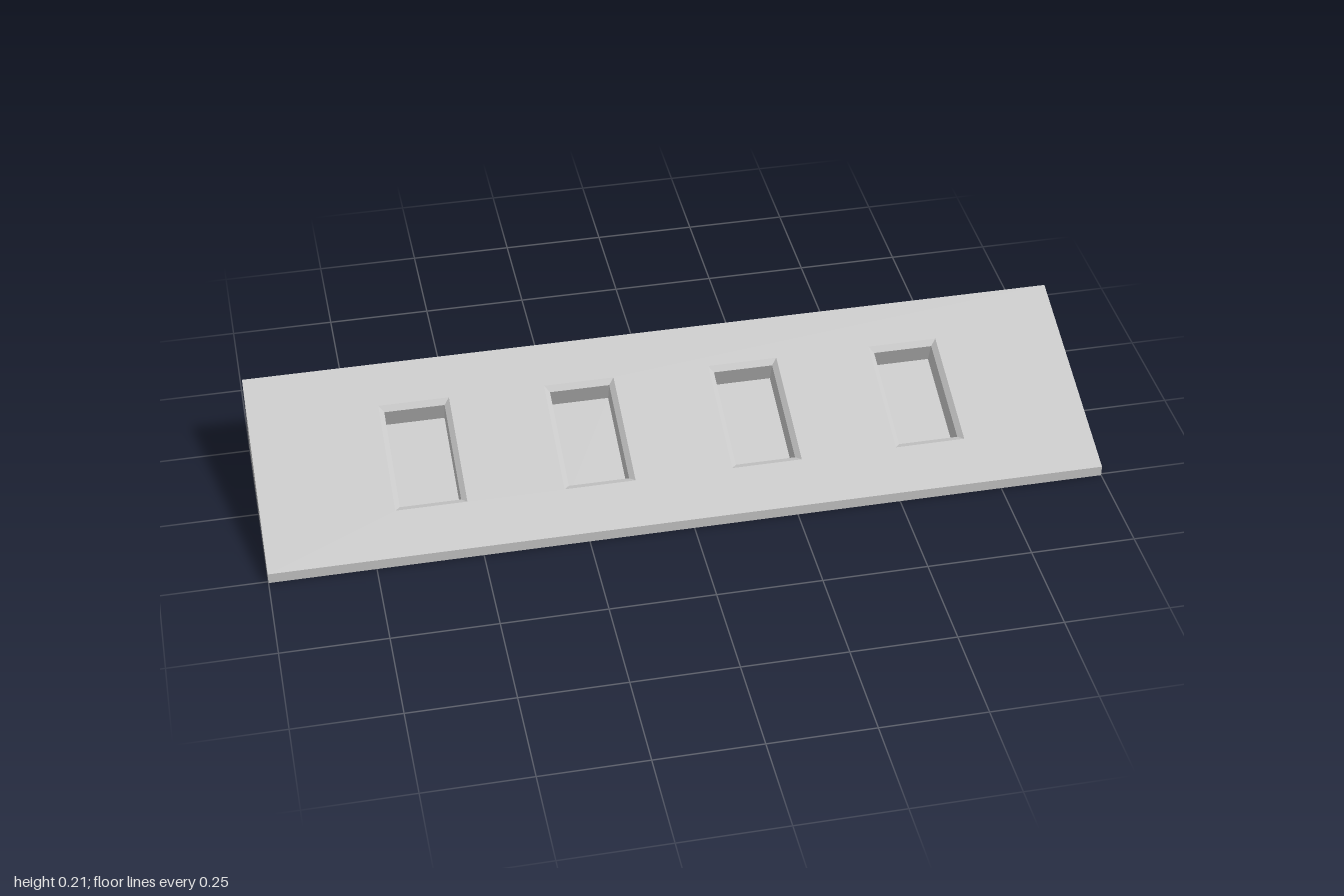
import * as THREE from 'three';

// Flat-shaded geometry from a list of quads (four corners each, counter-clockwise)
function quadGeometry(quads) {
  const points = quads.flatMap(([a, b, c, d]) => [a, b, c, a, c, d]);
  const geometry = new THREE.BufferGeometry();
  geometry.setAttribute('position', new THREE.Float32BufferAttribute(points.flat(), 3));
  geometry.computeVertexNormals();
  return geometry;
}

export function createModel() {
  const model = new THREE.Group();
  const grey = new THREE.MeshStandardMaterial({ color: 0xc8c8c8 });
  grey.name = 'light grey';

  const add = (parent, name, geometry) => {
    const mesh = new THREE.Mesh(geometry, grey);
    mesh.name = name;
    parent.add(mesh);
    return mesh;
  };

  const halfDepth = 0.255, frontY = 0.026, backY = 0.211;

  // Wedge body: ends, bottom, front lip and back, open at the slope
  const profile = [[backY, -halfDepth], [0, -halfDepth], [0, halfDepth], [frontY, halfDepth]];
  const right = profile.map(([y, z]) => [-1, y, z]);
  const left = profile.map(([y, z]) => [1, y, z]);
  const sides = [0, 1, 2].map(i => [right[i], left[i], left[i + 1], right[i + 1]]);
  add(model, 'wedgeBody', quadGeometry([right, [...left].reverse(), ...sides]));

  // Sloped panel frame: local x across, y up the slope, z out of it
  const rise = backY - frontY;
  const slope = new THREE.Group();
  slope.name = 'slopedTop';
  slope.position.y = (frontY + backY) / 2;
  slope.rotation.x = Math.atan2(rise, 2 * halfDepth) - Math.PI / 2;
  model.add(slope);

  const halfLength = Math.hypot(rise, 2 * halfDepth) / 2;
  const centres = [-0.604, -0.203, 0.201, 0.603];
  const pocketY = 0.003;
  const ring = (x, hx, hy, z) =>
    [[-1, -1], [1, -1], [1, 1], [-1, 1]].map(([sx, sy]) => [x + sx * hx, pocketY + sy * hy, z]);
  const toPath = points => points.map(([x, y]) => new THREE.Vector2(x, y));

  // Panel with a hole for each pocket
  const panel = new THREE.Shape(toPath(
    [[-1, -halfLength], [1, -halfLength], [1, halfLength], [-1, halfLength]]));

  centres.forEach((x, index) => {
    const outer = ring(x, 0.085, 0.148, 0);
    const inner = ring(x, 0.0725, 0.134, -0.01);
    const floor = ring(x, 0.0725, 0.134, -0.066);
    panel.holes.push(new THREE.Path(toPath(outer).reverse()));

    // Chamfered rim, straight walls and floor of the recess
    const quads = [floor];
    for (const [top, bottom] of [[outer, inner], [inner, floor]]) {
      for (let i = 0; i < 4; i++) {
        const j = (i + 1) % 4;
        quads.push([top[i], top[j], bottom[j], bottom[i]]);
      }
    }
    add(slope, `pocket${index + 1}`, quadGeometry(quads));
  });
  add(slope, 'topPanel', new THREE.ShapeGeometry(panel));

  return model;
}
